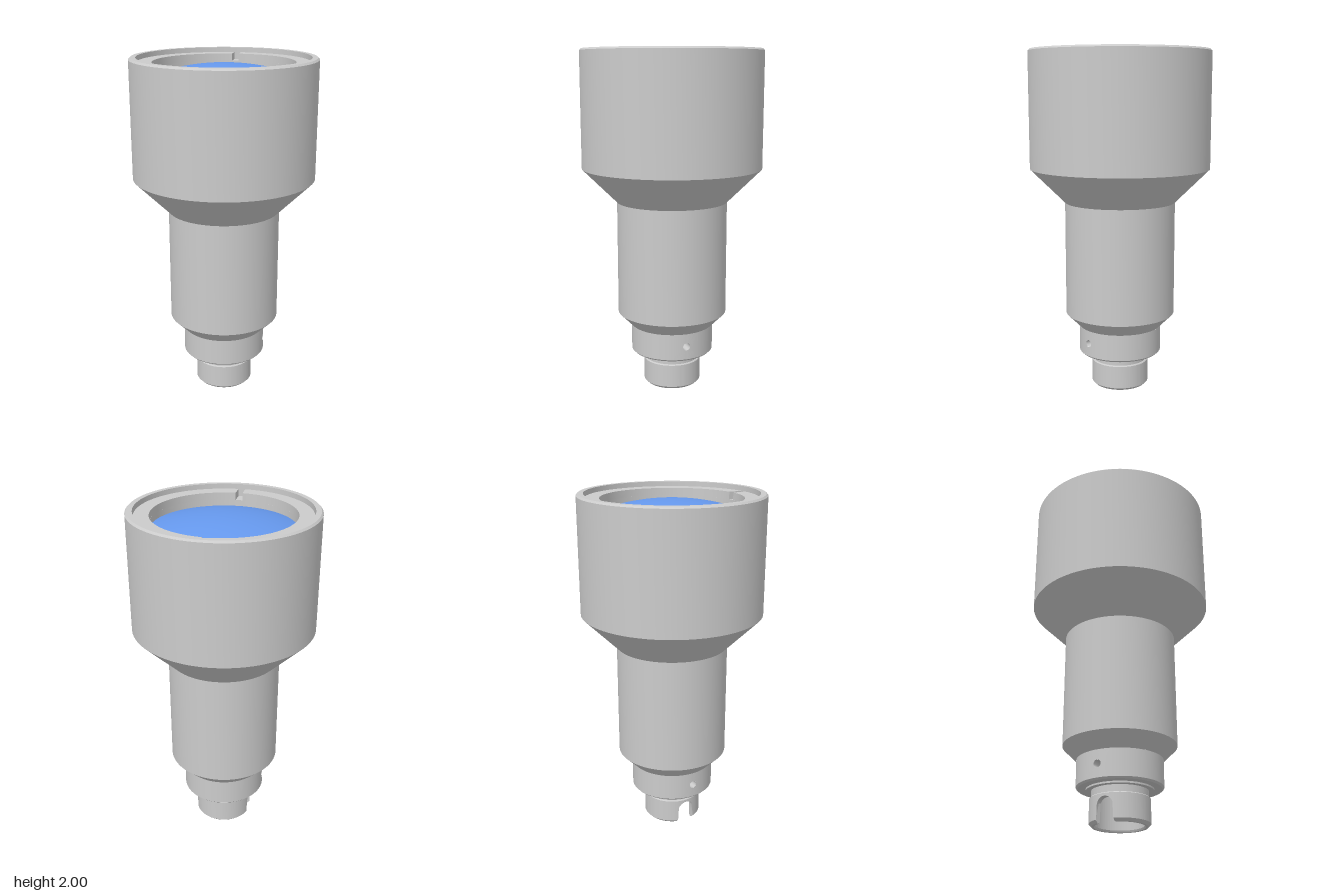
import * as THREE from 'three';
import { toCreasedNormals } from 'three/addons/utils/BufferGeometryUtils.js';

const grey = new THREE.MeshStandardMaterial({ color: 0xcccccc });
const greyInside = new THREE.MeshStandardMaterial({ color: 0xcccccc, side: THREE.BackSide });
const blue = new THREE.MeshStandardMaterial({ color: 0x6699ee });

function mesh(name, geometry, material = grey) {
  const m = new THREE.Mesh(geometry, material);
  m.name = name;
  return m;
}

const crease = (geometry) => toCreasedNormals(geometry, 0.4);

function lathe(profile, segments = 96, start = 0, length = Math.PI * 2) {
  return new THREE.LatheGeometry(profile.map(([r, y]) => new THREE.Vector2(r, y)), segments, start, length);
}

// Hollow plug with a round-topped slot in its -x wall
function plugGeometry() {
  const geometry = lathe([
    [0, 0.3], [0.135, 0.3], [0.135, 0.01], [0.14, 0], [0.155, 0], [0.17, 0.015],
    [0.17, 0.15], [0.165, 0.155], [0.16, 0.155], [0.16, 0.195], [0.19, 0.195],
    [0.19, 0.205], [0.235, 0.205], [0.245, 0.215],
  ], 240);
  const p = geometry.attributes.position;
  const half = 0.05;
  for (let i = 0; i < p.count; i++) {
    const z = p.getZ(i);
    if (p.getX(i) < 0 && Math.abs(z) < half) {
      p.setY(i, Math.max(p.getY(i), 0.085 + Math.sqrt(half * half - z * z)));
    }
  }
  return crease(geometry);
}

// Square patch of the collar wall, blending from a round hole to its border
function holePatch(radius, centreY, half, holeRadius) {
  const geometry = new THREE.PlaneGeometry(1, 1, 64, 4);
  const p = geometry.attributes.position;
  for (let i = 0; i < p.count; i++) {
    const a = (p.getX(i) + 0.5) * Math.PI * 2;
    const c = Math.cos(a), s = Math.sin(a);
    const k = THREE.MathUtils.lerp(half / Math.max(Math.abs(c), Math.abs(s)), holeRadius, p.getY(i) + 0.5);
    const turn = (k * c) / radius;
    p.setXYZ(i, radius * Math.cos(turn), centreY + k * s, -radius * Math.sin(turn));
  }
  return crease(geometry);
}

// Collar: two equal halves, each with one drilled hole
function collar() {
  const group = new THREE.Group();
  group.name = 'collar';
  const r = 0.245, low = 0.215, high = 0.37, hole = 0.022;
  const mid = (low + high) / 2, half = (high - low) / 2, a = half / r;
  for (const turn of [0, Math.PI]) {
    const side = new THREE.Group();
    side.name = 'collarHalf';
    side.rotation.y = turn;
    const bore = mesh('holeBore', new THREE.CylinderGeometry(hole, hole, 0.094, 32, 1, true), greyInside);
    bore.rotation.z = Math.PI / 2;
    bore.position.set(0.197, mid, 0);
    const floor = mesh('holeFloor', new THREE.CircleGeometry(hole, 32));
    floor.rotation.y = Math.PI / 2;
    floor.position.set(0.15, mid, 0);
    side.add(
      mesh('collarWall', lathe([[r, low], [r, high]], 40, Math.PI / 2 + a, Math.PI - 2 * a)),
      mesh('holeSurround', holePatch(r, mid, half, hole)), bore, floor);
    group.add(side);
  }
  return group;
}

// Retaining ring: full lower ring plus two arcs that leave the key slots free
function retainingRing() {
  const group = new THREE.Group();
  group.name = 'retainingRing';
  const inner = 0.4, outer = 0.484, slot = 0.02, floorY = 1.93, topY = 1.972;
  group.add(mesh('ringBase', crease(lathe([
    [inner, 1.84], [outer, 1.84], [outer, floorY], [inner, floorY], [inner, 1.84],
  ]))));
  const to = Math.PI / 2 - Math.asin(slot / outer);
  const ti = Math.PI / 2 - Math.asin(slot / inner);
  const shape = new THREE.Shape();
  shape.absarc(0, 0, outer, -to, to, false);
  shape.absarc(0, 0, inner, ti, -ti, true);
  shape.closePath();
  const arc = crease(new THREE.ExtrudeGeometry(shape, {
    depth: topY - floorY, bevelEnabled: false, curveSegments: 48,
  }).rotateX(-Math.PI / 2));
  for (const turn of [0, Math.PI]) {
    const half = mesh('ringArc', arc);
    half.position.y = floorY;
    half.rotation.y = turn;
    group.add(half);
  }
  return group;
}

// Domed lens as a shallow spherical cap
function lens() {
  const rim = 0.4, rise = 0.065, edgeY = 1.895;
  const radius = (rim * rim + rise * rise) / (2 * rise);
  const cap = new THREE.SphereGeometry(radius, 96, 20, 0, Math.PI * 2, 0, Math.asin(rim / radius));
  const m = mesh('lens', cap, blue);
  m.position.y = edgeY + rise - radius;
  return m;
}

export function createModel() {
  const model = new THREE.Group();
  model.name = 'opticalTube';
  model.add(
    mesh('plug', plugGeometry()),
    collar(),
    // Barrel with flared head and recessed mouth
    mesh('barrel', crease(lathe([
      [0.245, 0.37], [0.325, 0.45], [0.325, 1.12], [0.527, 1.32], [0.527, 1.99],
      [0.517, 2], [0.487, 2], [0.487, 1.82], [0, 1.82],
    ]))),
    retainingRing(),
    lens());
  return model;
}
